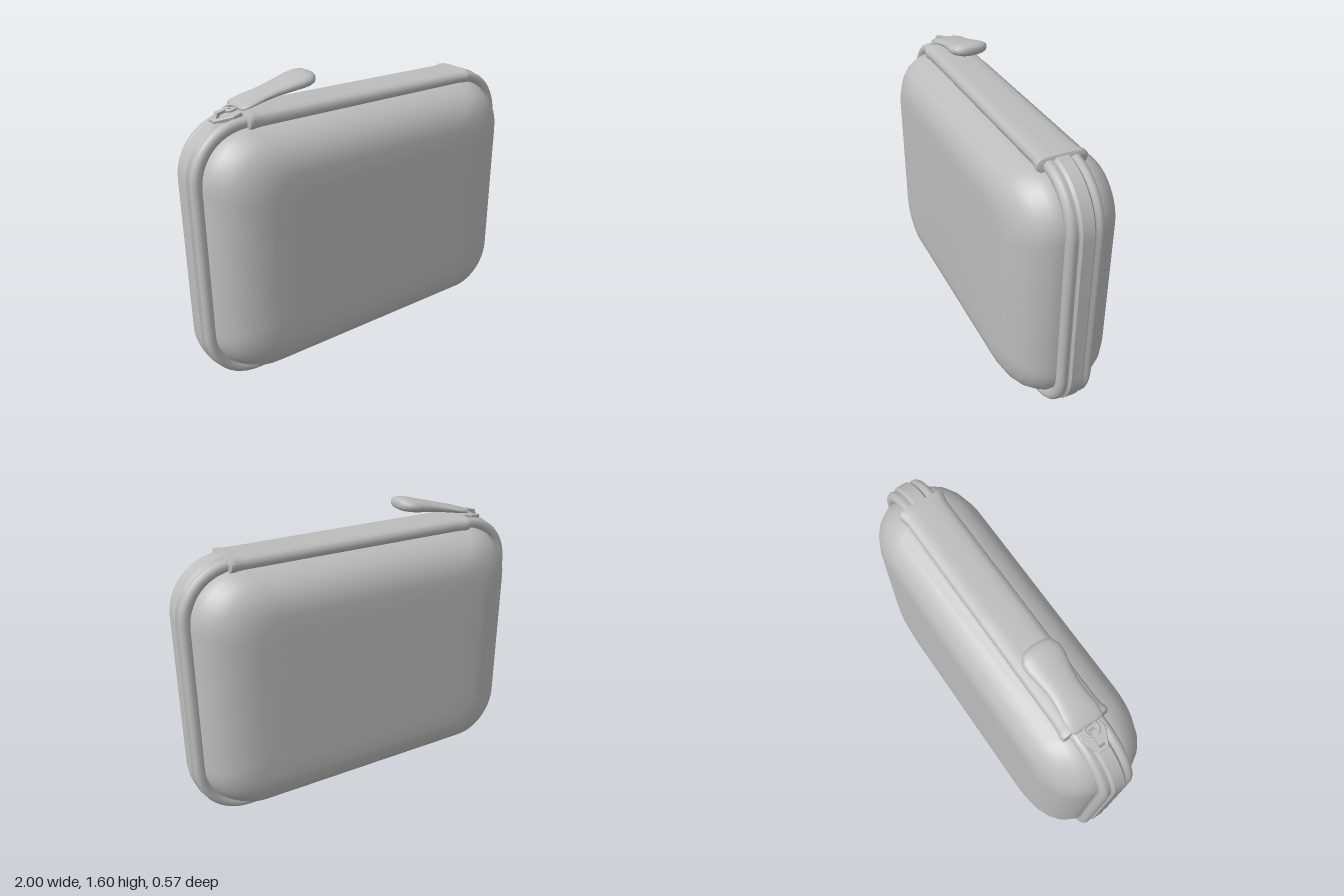
import * as THREE from 'three';
import { toCreasedNormals } from 'three/addons/utils/BufferGeometryUtils.js';

const V = (x, y, z) => new THREE.Vector3(x, y, z);
const MID_Y = 0.725;

// Skin a row of closed rings (each counter-clockwise seen from the last ring's side)
function loft(rings, capped = true, crease = 0.7) {
  const n = rings[0].length, pos = [], idx = [];
  rings.forEach((ring) => ring.forEach((p) => pos.push(p.x, p.y, p.z)));
  for (let i = 0; i < rings.length - 1; i++) {
    for (let j = 0; j < n; j++) {
      const k = (j + 1) % n, a = i * n, b = a + n;
      idx.push(a + j, a + k, b + k, a + j, b + k, b + j);
    }
  }
  if (capped) {
    [0, rings.length - 1].forEach((r) => {
      const c = rings[r].reduce((s, p) => s.add(p), V(0, 0, 0)).divideScalar(n);
      const ci = pos.length / 3;
      pos.push(c.x, c.y, c.z);
      for (let j = 0; j < n; j++) {
        const a = r * n + j, b = r * n + ((j + 1) % n);
        if (r === 0) idx.push(ci, b, a); else idx.push(ci, a, b);
      }
    });
  }
  const g = new THREE.BufferGeometry();
  g.setAttribute('position', new THREE.Float32BufferAttribute(pos, 3));
  g.setIndex(idx);
  return toCreasedNormals(g, crease);
}

// Rounded rectangle outline in the xy plane
function roundedRing(hx, hy, r, z, steps = 12) {
  const ring = [];
  [[1, 1], [-1, 1], [-1, -1], [1, -1]].forEach(([sx, sy], q) => {
    for (let i = 0; i <= steps; i++) {
      const a = (q + i / steps) * Math.PI / 2;
      ring.push(V(sx * (hx - r) + r * Math.cos(a), MID_Y + sy * (hy - r) + r * Math.sin(a), z));
    }
  });
  return ring;
}

// Mirror a half profile of [value, z] so it runs from -z to +z
const mirrored = (half) => [...half.map(([v, z]) => [v, -z]).reverse(), ...half];

export function createModel() {
  const group = new THREE.Group();
  const grey = new THREE.MeshStandardMaterial({ color: 0xbcbcbc });
  grey.name = 'grey';
  const greyOpen = new THREE.MeshStandardMaterial({ color: 0xbcbcbc, side: THREE.DoubleSide });
  greyOpen.name = 'grey';
  const add = (name, geometry, parent = group, material = grey) => {
    const mesh = new THREE.Mesh(geometry, material);
    mesh.name = name;
    parent.add(mesh);
    return mesh;
  };

  // Padded case body: [inset, z]
  const shell = mirrored([[0, 0.05], [0, 0.1], [0.012, 0.14], [0.035, 0.19], [0.07, 0.232],
    [0.12, 0.265], [0.17, 0.28], [0.21, 0.285], [0.3, 0.286]]);
  add('caseBody', loft(shell.map(([d, z]) =>
    roundedRing(0.945 - d * 1.3, 0.668 - d, 0.27 - d * 0.55, z))));

  // Rim around the seam, with piping either side of the raised zip tape: [offset, z]
  const rim = mirrored([[0, 0.03], [-0.012, 0.042], [-0.012, 0.05], [-0.006, 0.062], [-0.008, 0.078],
    [-0.018, 0.09], [-0.034, 0.096], [-0.05, 0.092], [-0.064, 0.08]]);
  add('zipRim', loft(rim.map(([o, z]) => roundedRing(1 + o, 0.725 + o, 0.3 + o, z)), false),
    group, greyOpen);

  // Top cover strip, flared at both ends: [x, width scale, lift]
  const half = [[1.458, 0.05], [1.455, 0.085], [1.447, 0.107], [1.43, 0.12], [1.41, 0.12], [1.395, 0.114], [1.385, 0.1]];
  const section = [...half, ...half.map(([y, z]) => [y, -z]).reverse()];
  const strip = [[-0.69, 1.02, -0.004], [-0.686, 1.07, 0.004], [-0.67, 1.09, 0.006], [-0.645, 1.03, 0.003],
    [-0.6, 1, 0.002], [0, 1, 0], [0.66, 1, -0.003], [0.69, 1.03, -0.002], [0.715, 1.09, 0.001],
    [0.73, 1.07, 0], [0.734, 1.02, -0.006]];
  add('topStrip', loft(strip.map(([x, w, lift]) => section.map(([y, z]) =>
    V(x, y + lift * (y > 1.42 ? 1 : 0), z * w - 0.003)))));

  // Zip slider: wedge plate, bridge and ring
  const slider = new THREE.Group();
  slider.name = 'zipSlider';
  slider.position.set(-0.762, 1.445, -0.003);
  slider.rotation.z = 0.2;
  group.add(slider);
  const wedge = new THREE.Shape();
  [[-0.065, -0.025], [0.02, -0.065], [0.065, -0.055], [0.065, 0.055], [0.02, 0.065], [-0.065, 0.025]]
    .forEach(([x, y], i) => (i ? wedge.lineTo(x, y) : wedge.moveTo(x, y)));
  const plate = new THREE.ExtrudeGeometry(wedge, {
    depth: 0.014, bevelEnabled: true, bevelSize: 0.004, bevelThickness: 0.004, bevelSegments: 1,
  });
  plate.rotateX(-Math.PI / 2);
  add('sliderPlate', plate, slider).position.y = -0.012;
  const bridge = new THREE.Shape();
  [[-0.05, 0], [-0.035, 0.026], [0.035, 0.026], [0.05, 0], [0.032, 0], [0.022, 0.012], [-0.022, 0.012], [-0.032, 0]]
    .forEach(([x, y], i) => (i ? bridge.lineTo(x, y) : bridge.moveTo(x, y)));
  const bridgeGeo = new THREE.ExtrudeGeometry(bridge, { depth: 0.03, bevelEnabled: false });
  bridgeGeo.translate(0, 0.004, -0.015);
  add('sliderBridge', bridgeGeo, slider);
  const link = add('pullRing', new THREE.TorusGeometry(0.034, 0.008, 8, 20), slider);
  link.rotation.x = Math.PI / 2;
  link.position.set(0.045, 0.022, 0);

  // Pull tab: [x, centre y, half width, half thickness]
  const tab = [[-0.705, 1.479, 0.07, 0.006], [-0.695, 1.482, 0.086, 0.013], [-0.64, 1.494, 0.091, 0.018],
    [-0.57, 1.509, 0.082, 0.022], [-0.5, 1.524, 0.08, 0.026], [-0.43, 1.538, 0.091, 0.031],
    [-0.37, 1.55, 0.103, 0.035], [-0.33, 1.557, 0.104, 0.036], [-0.295, 1.562, 0.088, 0.033],
    [-0.278, 1.563, 0.064, 0.025], [-0.271, 1.563, 0.035, 0.014]];
  add('pullTab', loft(tab.map(([x, y, w, t]) => Array.from({ length: 20 }, (_, i) => {
    const a = (i / 20) * Math.PI * 2, c = Math.cos(a), s = Math.sin(a);
    return V(x, y + t * Math.sign(c) * Math.abs(c) ** 0.9, w * Math.sign(s) * Math.abs(s) ** 0.8 - 0.005);
  })), true, 1.2));

  return group;
}
